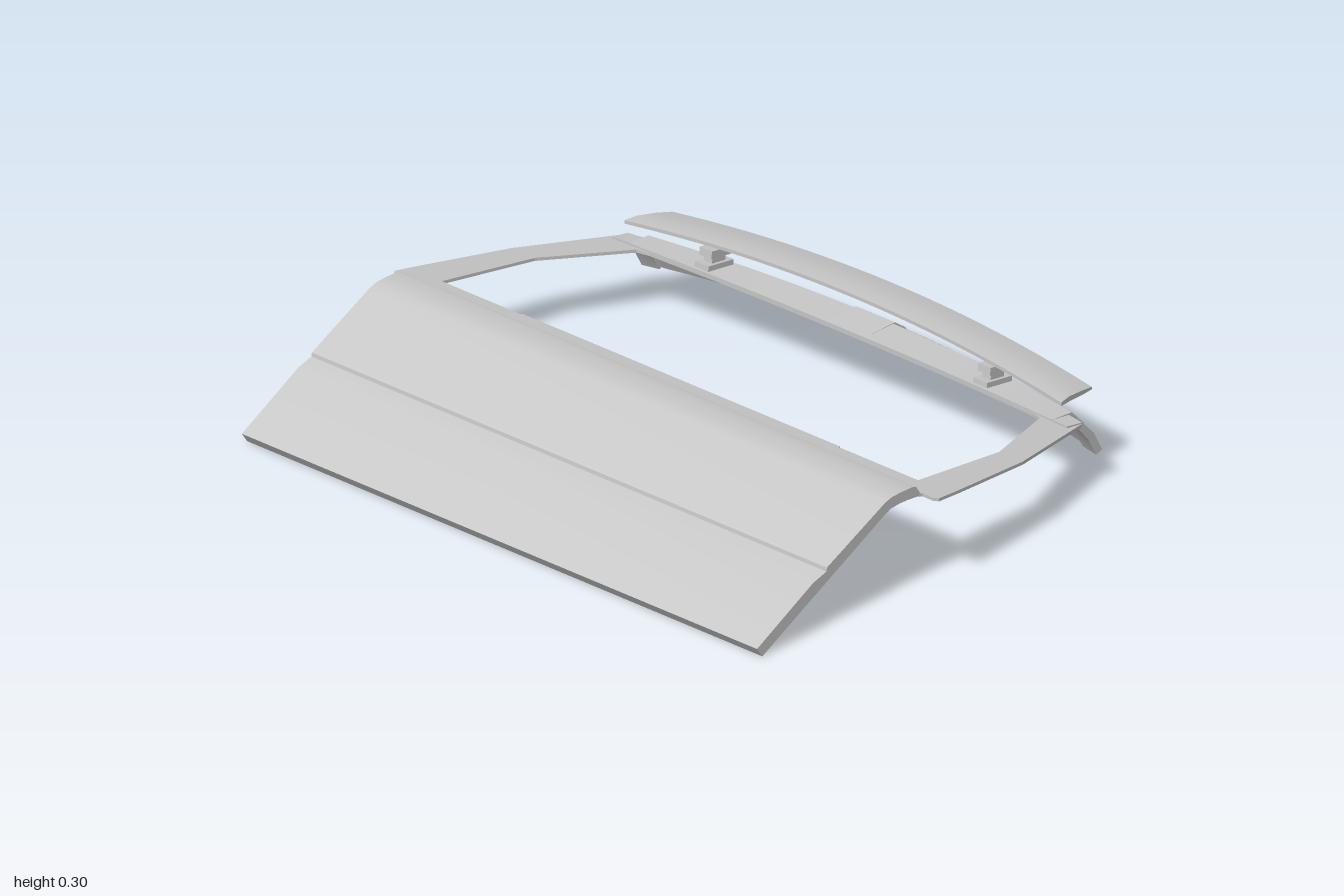
import * as THREE from 'three';
import { toCreasedNormals } from 'three/addons/utils/BufferGeometryUtils.js';

const mix = THREE.MathUtils.lerp;
// height of the sloping window frame plane at depth z
const planeY = (z) => 0.27 - 0.112 * (0.13 - z);

// Solid plate swept along x. section(x) gives top and bottom rows of
// [z, y, xScale], both running towards +z.
function plate(x0, x1, steps, section, crease = 0.5) {
  const pos = [], index = [];
  let n = 0;
  for (let i = 0; i <= steps; i++) {
    const x = mix(x0, x1, i / steps);
    const { top, bottom } = section(x);
    n = top.length;
    for (const [z, y, s = 1] of [...top, ...[...bottom].reverse()]) pos.push(x * s, y, z);
  }
  const m = 2 * n;
  const quad = (a, b, c, d) => index.push(a, b, c, a, c, d);
  for (let i = 0; i < steps; i++) {
    for (let j = 0; j < m; j++) {
      const k = (j + 1) % m;
      quad(i * m + j, i * m + k, (i + 1) * m + k, (i + 1) * m + j);
    }
  }
  const e = steps * m;
  for (let j = 0; j < n - 1; j++) {
    quad(e + j, e + j + 1, e + m - 2 - j, e + m - 1 - j);
    quad(m - 1 - j, m - 2 - j, j + 1, j);
  }
  const g = new THREE.BufferGeometry();
  g.setAttribute('position', new THREE.Float32BufferAttribute(pos, 3));
  g.setIndex(index);
  return toCreasedNormals(g, crease);
}

// Arched rear header with its down-turned flange
function header(x0, x1, steps, inset = 0) {
  return plate(x0, x1, steps, (x) => {
    const t = (x / 0.83) ** 2;
    const zi = mix(-0.56, -0.535, t);
    const top = [
      [mix(-0.738, -0.68, t) + inset, mix(0.12, 0.092, t)],
      [mix(-0.705, -0.65, t) + inset, mix(0.18, 0.15, t)],
      [mix(-0.665, -0.605, t) + inset, mix(0.206, 0.199, t) - inset * 0.3],
      [zi, planeY(zi) + 0.008],
    ];
    const bottom = [
      [top[0][0] + 0.022, top[0][1] - 0.008],
      [top[1][0] + 0.022, top[1][1] - 0.012],
      [top[2][0] + 0.012, top[2][1] - 0.016],
      [zi, planeY(zi) - 0.006],
    ];
    return { top, bottom };
  });
}

export function createModel() {
  const group = new THREE.Group();
  const grey = new THREE.MeshStandardMaterial({ color: 0xc6c6c6 });
  grey.name = 'paintedGrey';
  const add = (name, geometry) => {
    const mesh = new THREE.Mesh(geometry, grey);
    mesh.name = name;
    group.add(mesh);
    return mesh;
  };

  // Lower door panel with a stepped crease and a rounded shoulder
  const skin = {
    top: [[0.13, 0.273], [0.147, 0.298], [0.16, 0.301], [0.2, 0.301], [0.235, 0.299],
      [0.262, 0.291], [0.482, 0.177], [0.484, 0.166], [0.534, 0.15], [0.745, 0.03]],
    bottom: [[0.13, 0.266], [0.15, 0.268], [0.18, 0.27], [0.21, 0.27], [0.243, 0.266],
      [0.27, 0.253], [0.482, 0.136], [0.49, 0.1315], [0.53, 0.11], [0.725, 0.002]],
  };
  add('doorPanel', plate(-0.943, 0.943, 1, () => skin));

  // Window surround: flat outline with an opening, laid on the sloping plane
  const mirrored = (half) => [...half, ...half.map(([x, z]) => [-x, z]).reverse()]
    .map(([x, z]) => new THREE.Vector2(x, -z));
  const surround = new THREE.Shape(mirrored([
    [0.943, 0.135], [0.945, 0.125], [0.985, 0.126], [0.997, 0.115], [0.985, 0.03],
    [0.936, -0.262], [0.834, -0.588], [0.4, -0.63], [0.05, -0.645]]));
  surround.holes.push(new THREE.Path(mirrored([
    [0.58, 0.06], [0.582, 0.066], [0.872, 0.066], [0.85, -0.262], [0.738, -0.53],
    [0.7, -0.54], [0.4, -0.556], [0.05, -0.562]])));
  const ring = new THREE.ExtrudeGeometry(surround, { depth: 0.009, bevelEnabled: false });
  ring.rotateX(-Math.PI / 2);
  const p = ring.attributes.position;
  for (let i = 0; i < p.count; i++) p.setY(i, p.getY(i) + planeY(p.getZ(i)) - 0.006);
  ring.computeVertexNormals();
  add('windowFrame', ring);

  // Rear header, recessed end pieces and a slim centre cover
  add('rearHeader', header(-0.775, 0.775, 20));
  add('headerEndLeft', header(0.775, 0.832, 2, 0.012));
  add('headerEndRight', header(-0.832, -0.775, 2, 0.012));
  add('centreCover', header(-0.07, 0.07, 2, -0.006));

  // Arched spoiler blade, narrower along its trailing edge
  add('spoiler', plate(-0.8, 0.8, 24, (x) => {
    const t = (x / 0.8) ** 2;
    const top = [
      [mix(-0.73, -0.695, t), mix(0.28, 0.243, t), 0.96],
      [mix(-0.68, -0.645, t), mix(0.292, 0.253, t), 0.975],
      [mix(-0.62, -0.585, t), mix(0.299, 0.261, t), 0.99],
      [mix(-0.582, -0.547, t), mix(0.297, 0.258, t), 1],
    ];
    const depth = [0.007, 0.013, 0.015, 0.01];
    return { top, bottom: top.map(([z, y, s], i) => [z, y - depth[i], s]) };
  }));

  // Spoiler brackets: foot plate, stalk and upper pad
  for (const side of [1, -1]) {
    const bracket = new THREE.Group();
    bracket.name = side > 0 ? 'bracketLeft' : 'bracketRight';
    const parts = [
      ['bracketFoot', 0.05, 0.015, 0.095, 0.217, -0.587],
      ['bracketStalk', 0.03, 0.04, 0.05, 0.238, -0.59],
      ['bracketPad', 0.045, 0.022, 0.075, 0.252, -0.592],
    ];
    for (const [name, w, h, d, y, z] of parts) {
      const mesh = new THREE.Mesh(new THREE.BoxGeometry(w, h, d), grey);
      mesh.name = name;
      mesh.position.set(side * 0.51, y, z);
      mesh.rotation.x = -0.11;
      bracket.add(mesh);
    }
    group.add(bracket);
  }
  return group;
}
